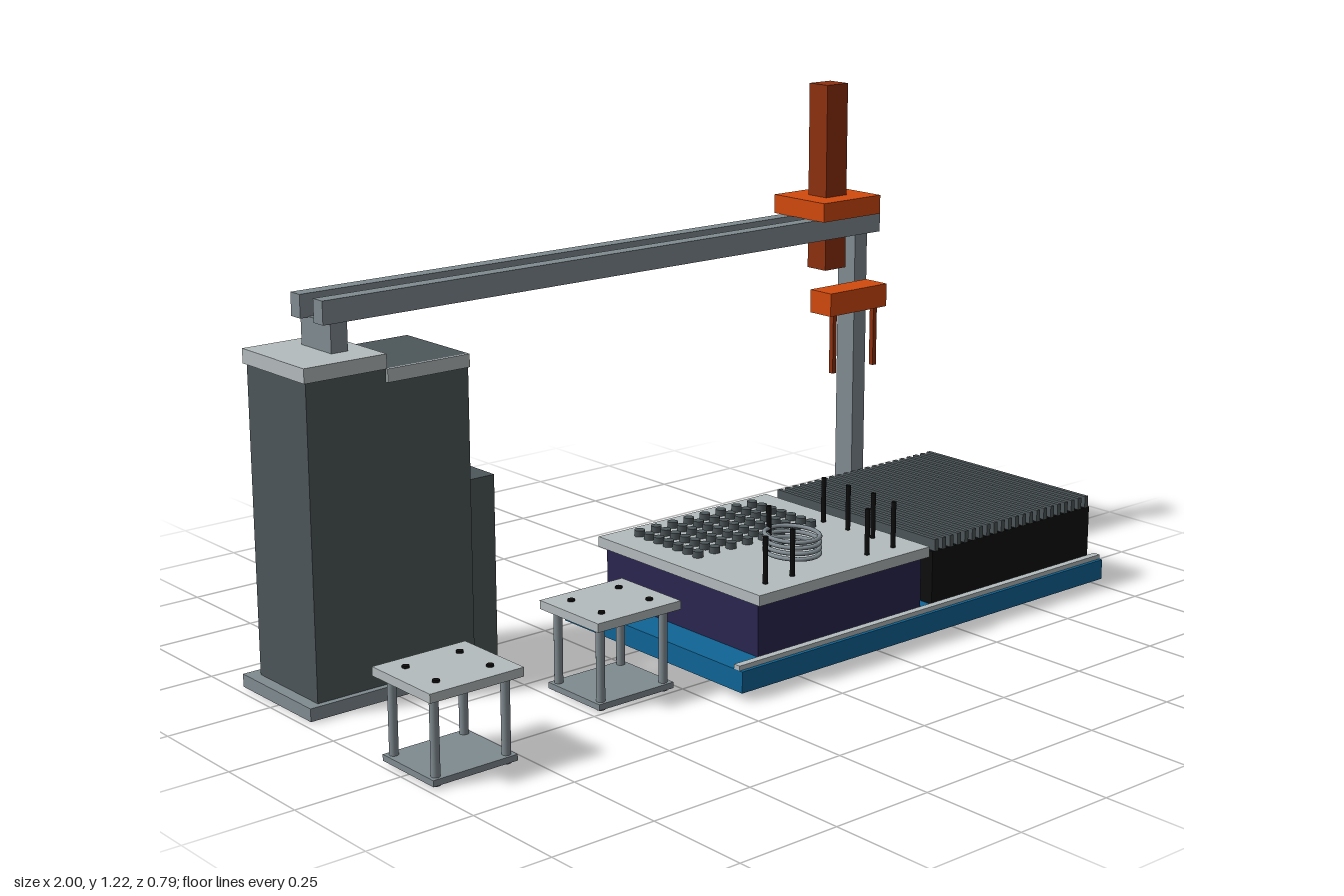
import * as THREE from 'three';

export function createModel() {
  const root = new THREE.Group();
  root.name = 'laboratoryRobotStation';

  const mat = (name, color) => {
    const m = new THREE.MeshStandardMaterial({ color });
    m.name = name;
    return m;
  };
  const blue = mat('blue', 0x0f6496);
  const light = mat('lightGrey', 0xb4bcbd);
  const steel = mat('steelGrey', 0x808b91);
  const dark = mat('darkGrey', 0x4d5659);
  const black = mat('black', 0x0e0e0e);
  const navy = mat('navy', 0x29264f);
  const orange = mat('orange', 0xd24a0e);
  const rust = mat('rust', 0x8e300f);

  const group = (name) => {
    const g = new THREE.Group();
    g.name = name;
    root.add(g);
    return g;
  };
  // Box given by its limits on each axis
  const box = (parent, name, m, x0, x1, y0, y1, z0, z1) => {
    const mesh = new THREE.Mesh(new THREE.BoxGeometry(x1 - x0, y1 - y0, z1 - z0), m);
    mesh.name = name;
    mesh.position.set((x0 + x1) / 2, (y0 + y1) / 2, (z0 + z1) / 2);
    parent.add(mesh);
    return mesh;
  };
  // Upright cylinder from y0 to y1
  const rod = (parent, name, m, x, z, r, y0, y1, sides = 16) => {
    const mesh = new THREE.Mesh(new THREE.CylinderGeometry(r, r, y1 - y0, sides), m);
    mesh.name = name;
    mesh.position.set(x, (y0 + y1) / 2, z);
    parent.add(mesh);
    return mesh;
  };

  // Base tray with front and back rails
  const base = group('base');
  box(base, 'baseSlab', blue, -0.2, 1, 0.02, 0.07, -0.237, 0.392);
  box(base, 'frontRail', light, -0.2, 1, 0.07, 0.081, 0.365, 0.383);
  box(base, 'backRail', light, -0.2, 1, 0.07, 0.081, -0.228, -0.21);

  // Sample deck
  const deck = group('sampleDeck');
  box(deck, 'deckBody', navy, -0.112, 0.402, 0.07, 0.195, -0.185, 0.345);
  box(deck, 'deckPlate', light, -0.123, 0.412, 0.195, 0.22, -0.203, 0.362);
  for (let i = 0; i < 8; i++)
    for (let j = 0; j < 7; j++)
      rod(deck, 'vial', dark, -0.045 + i * 0.051, -0.145 + j * 0.035, 0.013, 0.22, 0.235, 12);
  const pins = [[-0.057, 0.308], [0.025, 0.308], [0.26, 0.308], [0.345, 0.308],
    [0.36, 0.058], [0.36, 0.142], [0.36, 0.226], [0.105, 0.142]];
  for (const [x, z] of pins) rod(deck, 'pin', black, x, z, 0.006, 0.22, 0.33, 12);

  // Stacked oval coil
  for (let i = 0; i < 4; i++) {
    const ring = new THREE.Mesh(new THREE.TorusGeometry(0.058, 0.005, 10, 40), steel);
    ring.name = 'coilRing';
    ring.rotation.x = Math.PI / 2;
    ring.scale.y = 1.2;
    ring.position.set(0.115, 0.236 + i * 0.0135, 0.21);
    deck.add(ring);
  }

  // Finned block
  const fins = group('finnedBlock');
  box(fins, 'finBody', black, 0.435, 0.992, 0.07, 0.2, -0.193, 0.35);
  for (let i = 0; i < 22; i++) {
    const x = 0.448 + i * 0.0254;
    box(fins, 'fin', dark, x - 0.006, x + 0.006, 0.2, 0.228, -0.193, 0.35);
  }

  // Cabinet with stepped cap and vented side box
  const cabinet = group('cabinet');
  box(cabinet, 'cabinetFoot', steel, -0.98, -0.512, 0.003, 0.033, -0.395, -0.118);
  box(cabinet, 'cabinetBody', dark, -0.952, -0.538, 0.033, 0.742, -0.366, -0.133);
  box(cabinet, 'cabinetCap', light, -0.958, -0.752, 0.742, 0.775, -0.373, -0.128);
  box(cabinet, 'frontTrim', light, -0.752, -0.538, 0.712, 0.742, -0.133, -0.126);
  box(cabinet, 'sideBox', dark, -0.538, -0.464, 0.02, 0.45, -0.356, -0.147);
  for (const y of [0.26, 0.31, 0.363])
    box(cabinet, 'vent', black, -0.464, -0.45, y - 0.006, y + 0.006, -0.305, -0.17);

  // Gantry
  const gantry = group('gantry');
  box(gantry, 'frontBeam', steel, -0.862, 0.792, 0.84, 0.893, -0.236, -0.2);
  box(gantry, 'backBeam', steel, -0.862, 0.792, 0.84, 0.893, -0.325, -0.289);
  box(gantry, 'cabinetSupport', steel, -0.842, -0.8, 0.775, 0.842, -0.32, -0.203);
  box(gantry, 'post', steel, 0.733, 0.775, 0.018, 0.842, -0.288, -0.228);
  box(gantry, 'postHead', steel, 0.733, 0.775, 0.84, 0.885, -0.289, -0.236);
  box(gantry, 'postFoot', steel, 0.683, 0.825, 0.002, 0.02, -0.338, -0.18);

  // Picking head
  const head = group('pickingHead');
  box(head, 'column', rust, 0.63, 0.7, 0.755, 1.22, -0.292, -0.228);
  box(head, 'carriage', orange, 0.568, 0.762, 0.893, 0.94, -0.35, -0.17);
  box(head, 'gripper', orange, 0.568, 0.762, 0.66, 0.718, -0.215, -0.142);
  for (const x of [0.595, 0.735])
    box(head, 'gripperFinger', rust, x - 0.006, x + 0.006, 0.51, 0.66, -0.167, -0.154);

  // Two small stands
  for (const [x, z] of [[-0.883, 0.258], [-0.376, 0.154]]) {
    const stand = group('stand');
    box(stand, 'standTop', light, x - 0.116, x + 0.116, 0.192, 0.212, z - 0.102, z + 0.102);
    box(stand, 'standShelf', steel, x - 0.105, x + 0.105, 0.008, 0.022, z - 0.09, z + 0.09);
    for (const sx of [-1, 1])
      for (const sz of [-1, 1]) {
        rod(stand, 'standLeg', steel, x + sx * 0.088, z + sz * 0.074, 0.01, 0.003, 0.192);
        rod(stand, 'standScrew', black, x + sx * 0.067, z + sz * 0.053, 0.008, 0.21, 0.217, 12);
      }
  }

  return root;
}
